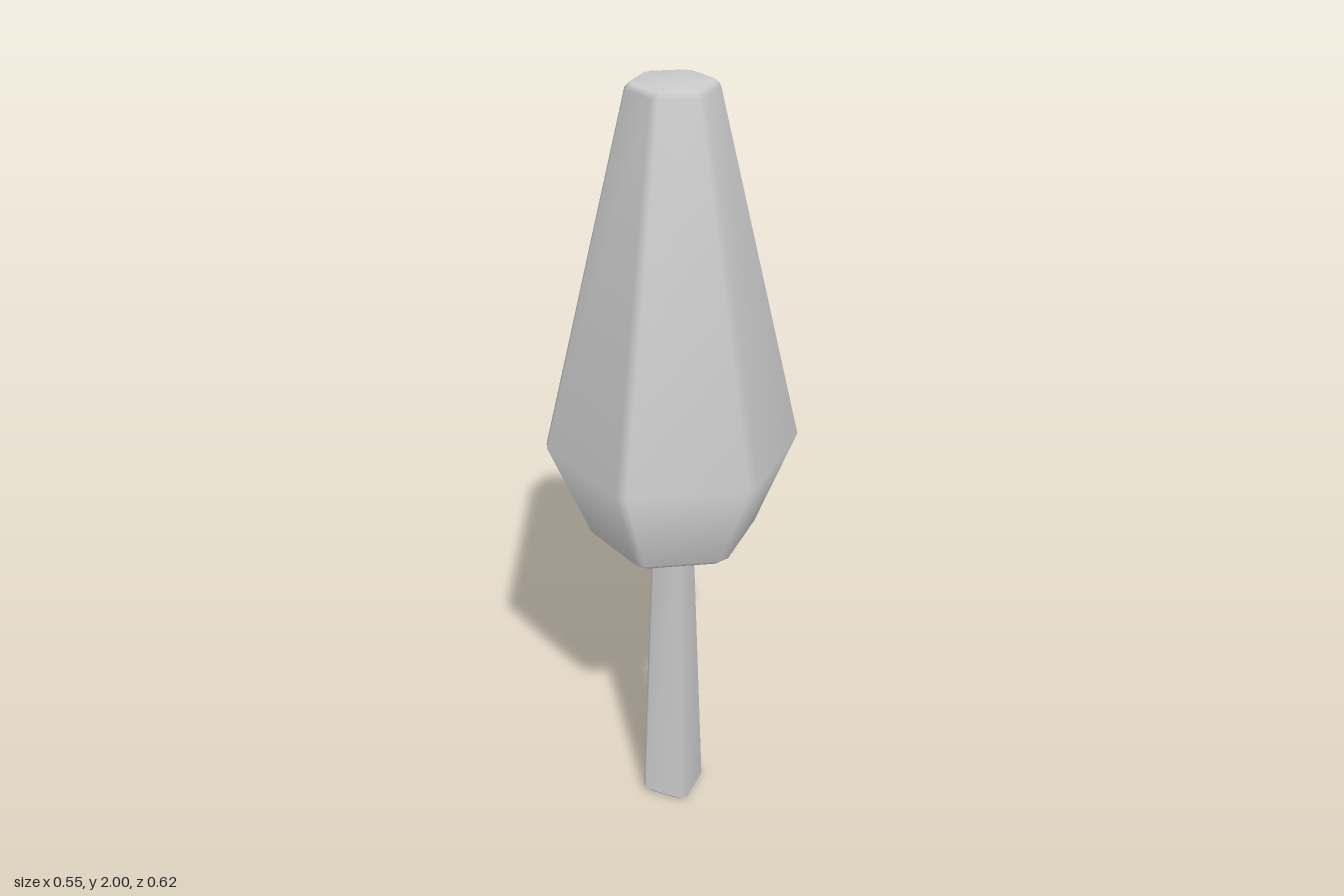
import * as THREE from 'three';

// Corners of a regular polygon with each corner chamfered by `cut` along both edges.
function chamferedRing(sides, apothem, cut, y, turn) {
  const radius = apothem / Math.cos(Math.PI / sides);
  const corner = (i) => {
    const a = turn + (i * 2 * Math.PI) / sides;
    return new THREE.Vector3(radius * Math.sin(a), y, radius * Math.cos(a));
  };
  const ring = [];
  for (let i = 0; i < sides; i++) {
    const p = corner(i);
    for (const n of [corner(i - 1), corner(i + 1)]) {
      ring.push(p.clone().add(n.sub(p).setLength(cut)));
    }
  }
  return ring;
}

// Smooth closed solid through rings listed bottom to top: [y, apothem, cut].
function loft(sides, profile, turn) {
  const positions = [];
  const index = [];
  const n = sides * 2;
  for (const [y, apothem, cut] of profile) {
    for (const p of chamferedRing(sides, apothem, cut, y, turn)) positions.push(p.x, p.y, p.z);
  }
  const last = (profile.length - 1) * n;
  const bottom = profile.length * n;
  positions.push(0, profile[0][0], 0, 0, profile[profile.length - 1][0], 0);
  for (let i = 0; i < n; i++) {
    const j = (i + 1) % n;
    for (let r = 0; r < last; r += n) {
      index.push(r + i, r + j, r + n + j, r + i, r + n + j, r + n + i);
    }
    index.push(bottom, j, i, bottom + 1, last + i, last + j);
  }
  const geometry = new THREE.BufferGeometry();
  geometry.setAttribute('position', new THREE.Float32BufferAttribute(positions, 3));
  geometry.setIndex(index);
  geometry.computeVertexNormals();
  return geometry;
}

export function createModel() {
  const group = new THREE.Group();
  const material = new THREE.MeshStandardMaterial({ color: 0xcccccc });
  const add = (name, geometry) => {
    const mesh = new THREE.Mesh(geometry, material);
    mesh.name = name;
    group.add(mesh);
  };

  // Square tapering trunk, bevelled at the foot and flaring into the foliage
  add('trunk', loft(4, [
    [0, 0.054, 0.01],
    [0.015, 0.066, 0.012],
    [0.835, 0.043, 0.01],
    [0.86, 0.06, 0.012],
  ], Math.PI / 4));

  // Six-sided foliage with softened edges, corners facing front and back
  add('foliage', loft(6, [
    [0.856, 0.17, 0.014],
    [0.872, 0.186, 0.014],
    [1.12, 0.274, 0.0155],
    [1.988, 0.095, 0.011],
    [2, 0.085, 0.011],
  ], 0));

  return group;
}
